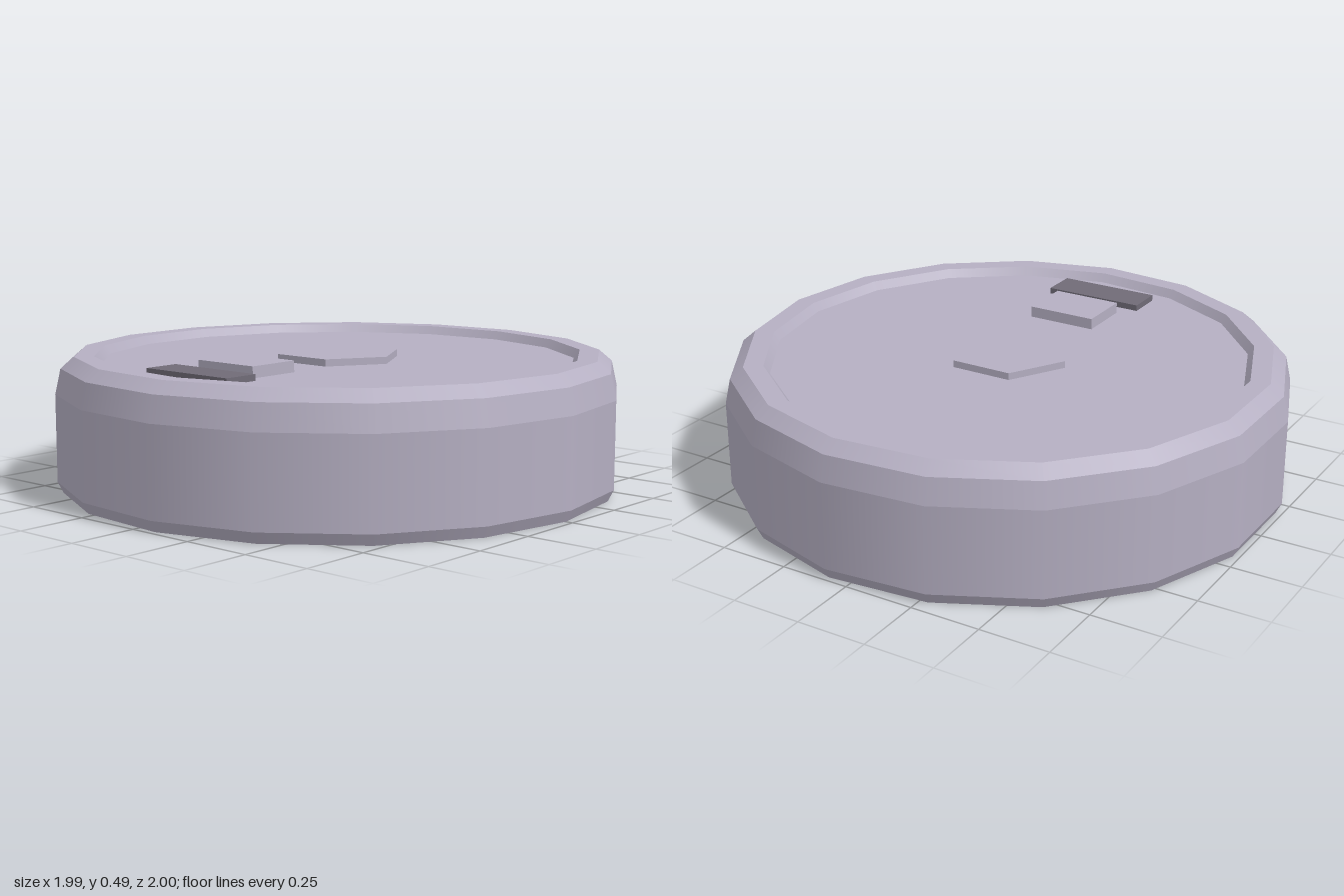
import * as THREE from 'three';

const SIDES = 17;

export function createModel() {
  const model = new THREE.Group();
  const body = new THREE.MeshStandardMaterial({ color: 0xb5afc2, side: THREE.DoubleSide });
  body.name = 'pale lilac grey';
  const dark = new THREE.MeshStandardMaterial({ color: 0x706b77 });
  dark.name = 'dark grey';

  const add = (name, geometry, material, x = 0, y = 0, z = 0) => {
    const mesh = new THREE.Mesh(geometry, material);
    mesh.name = name;
    mesh.position.set(x, y, z);
    model.add(mesh);
    return mesh;
  };

  // One ring of the shell: smooth around, hard edges to its neighbours
  const band = (name, r0, y0, r1, y1) => add(name, new THREE.LatheGeometry(
    [new THREE.Vector2(r0, y0), new THREE.Vector2(r1, y1)], SIDES, Math.PI / 2), body);

  // Shell, open underneath
  band('bottomBevel', 0.984, 0, 1.004, 0.04);
  band('sideWall', 1.004, 0.04, 1.004, 0.35);
  band('lowerShoulder', 1.004, 0.35, 0.984, 0.44);
  band('upperShoulder', 0.984, 0.44, 0.937, 0.48);
  band('rim', 0.937, 0.48, 0.867, 0.48);
  band('rimInnerSlope', 0.867, 0.48, 0.846, 0.45);
  band('topPanel', 0.846, 0.45, 0, 0.45);

  // Flat ceiling inside the hollow underside
  band('innerCeiling', 0, 0.4, 0.99, 0.4);

  // Raised hexagon in the middle of the panel
  const hex = new THREE.CylinderGeometry(0.225, 0.225, 0.025, 6, 1, false, Math.PI / 2).toNonIndexed();
  hex.computeVertexNormals();
  add('centreHexagon', hex, body, 0, 0.4625, 0);

  // Button and dark display strip near the front edge
  add('button', new THREE.BoxGeometry(0.256, 0.04, 0.2), body, 0, 0.47, 0.47);
  add('displayStrip', new THREE.BoxGeometry(0.375, 0.022, 0.132), dark, 0, 0.464, 0.685);

  // The odd-sided outline is slightly lopsided, so shift it to centre
  model.children.forEach((part) => { part.position.x -= 0.0095; });
  return model;
}
